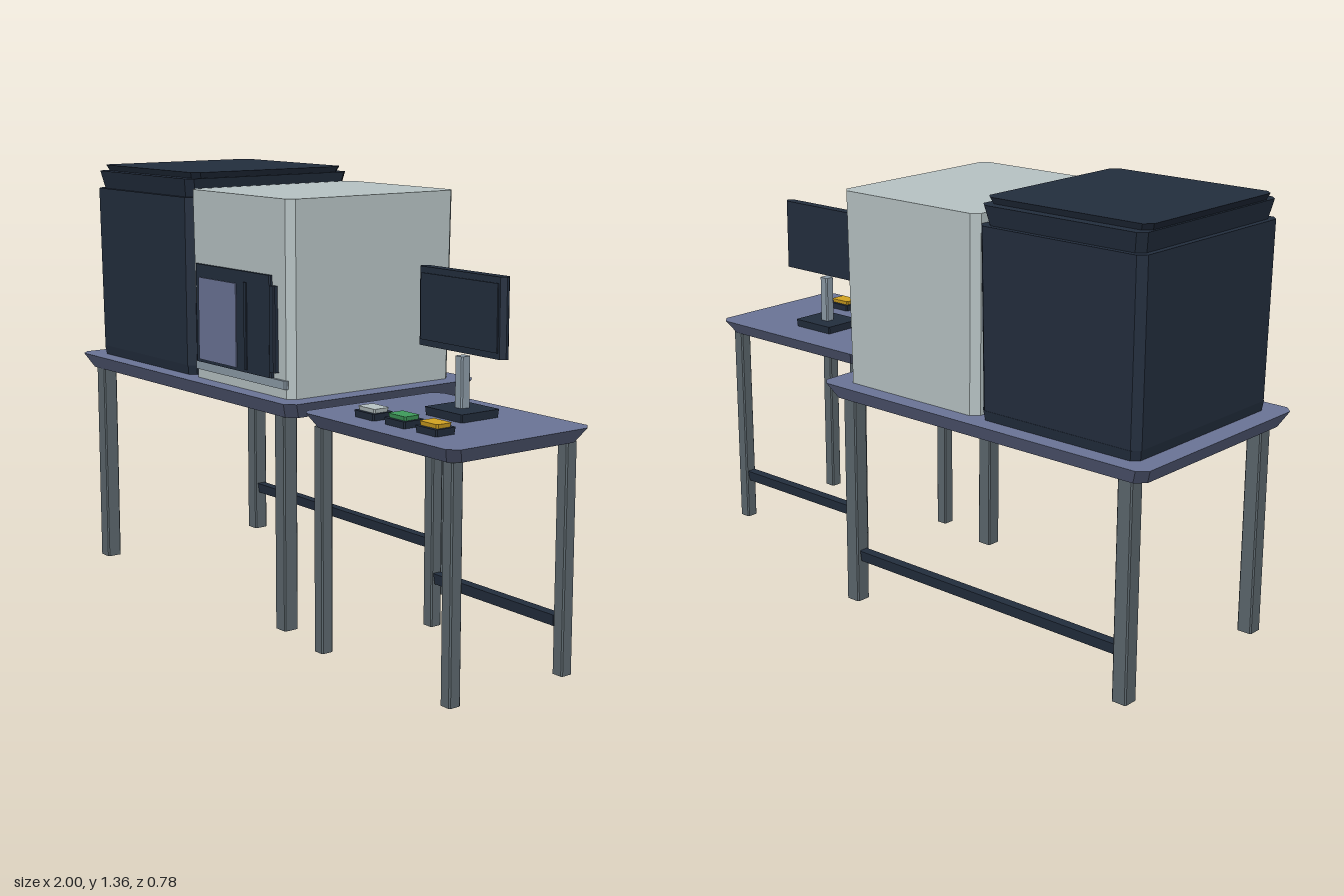
import * as THREE from 'three';

const mat = (name, color) => Object.assign(new THREE.MeshStandardMaterial({ color }), { name });

// Upright block with cut corners; its foot may be narrower than its top.
function blockGeometry(x0, x1, y0, y1, z0, z1, cut, taper) {
  const cx = (x0 + x1) / 2, cz = (z0 + z1) / 2;
  const ring = (inset, y) => {
    const w = (x1 - x0) / 2 - inset, d = (z1 - z0) / 2 - inset, a = w - cut, b = d - cut;
    return [[a, d], [w, b], [w, -b], [a, -d], [-a, -d], [-w, -b], [-w, b], [-a, d]]
      .map(([x, z]) => [cx + x, y, cz + z]);
  };
  const lo = ring(taper, y0), hi = ring(0, y1), pos = [];
  const tri = (...pts) => pts.forEach(p => pos.push(...p));
  for (let i = 0; i < 8; i++) {
    const j = (i + 1) % 8;
    tri(lo[i], lo[j], hi[j]);
    tri(lo[i], hi[j], hi[i]);
    if (i > 0 && i < 7) {
      tri(hi[0], hi[i], hi[j]);
      tri(lo[0], lo[j], lo[i]);
    }
  }
  const g = new THREE.BufferGeometry();
  g.setAttribute('position', new THREE.Float32BufferAttribute(pos, 3));
  g.computeVertexNormals();
  return g;
}

export function createModel() {
  const model = new THREE.Group();
  model.name = 'workstation';
  const blue = mat('slate blue', 0x6b7597);
  const dark = mat('dark navy', 0x232e3e);
  const pale = mat('pale grey', 0xb8c4c5);
  const steel = mat('leg grey', 0x5c676d);
  const metal = mat('brushed metal', 0x8d9ca8);
  const green = mat('green', 0x3f9d5c);
  const amber = mat('amber', 0xd4a422);

  const group = (name, parent = model) => {
    const g = new THREE.Group();
    g.name = name;
    parent.add(g);
    return g;
  };
  const block = (parent, name, m, [x0, x1], [y0, y1], [z0, z1], cut = 0.004, taper = 0) => {
    const mesh = new THREE.Mesh(blockGeometry(x0, x1, y0, y1, z0, z1, cut, taper), m);
    mesh.name = name;
    parent.add(mesh);
  };

  // Tables: bevelled top, four legs, rear crossbar
  function table(name, xs, ys, zs, legXs, legZs, size) {
    const g = group(name), h = size / 2;
    block(g, 'tableTop', blue, xs, ys, zs, 0.028, 0.026);
    for (const x of legXs) for (const z of legZs)
      block(g, 'leg', steel, [x - h, x + h], [0, ys[0]], [z - h, z + h]);
    block(g, 'crossbar', dark, [legXs[0] + h, legXs[1] - h], [0.137, 0.17],
      [legZs[0] - 0.016, legZs[0] + 0.016], 0.003, 0.003);
  }
  table('largeTable', [-1, 0.23], [0.665, 0.712], [-0.39, 0.35], [-0.912, 0.14], [-0.33, 0.296], 0.05);
  table('smallTable', [0.335, 1], [0.674, 0.716], [-0.13, 0.387], [0.38, 0.945], [-0.08, 0.337], 0.04);

  // Dark cabinet with a stepped lid
  const cabinet = group('darkCabinet');
  block(cabinet, 'cabinetBase', dark, [-0.937, -0.372], [0.712, 0.742], [-0.338, 0.298], 0.02, 0.004);
  block(cabinet, 'cabinetBody', dark, [-0.943, -0.367], [0.742, 1.28], [-0.343, 0.304], 0.022, 0.006);
  block(cabinet, 'lidLower', dark, [-0.937, -0.37], [1.28, 1.338], [-0.338, 0.302], 0.022, 0.012);
  block(cabinet, 'lidUpper', dark, [-0.937, -0.37], [1.338, 1.357], [-0.314, 0.278], 0.022, 0.008);

  // Pale housing with a window, sliding door and sill on its front
  const housing = group('paleHousing');
  block(housing, 'housingBody', pale, [-0.364, 0.172], [0.712, 1.308], [-0.34, 0.303], 0.022, 0.007);
  block(housing, 'sill', metal, [-0.335, 0.15], [0.742, 0.768], [0.29, 0.306]);
  block(housing, 'doorFrame', dark, [-0.323, 0.08], [0.768, 1.078], [0.29, 0.31]);
  block(housing, 'windowPane', blue, [-0.303, -0.096], [0.777, 1.037], [0.309, 0.313], 0.001);
  block(housing, 'doorRail', dark, [-0.053, -0.04], [0.777, 1.045], [0.309, 0.314], 0.001);
  block(housing, 'doorHandle', dark, [0.078, 0.106], [0.787, 1.048], [0.29, 0.314]);

  // Monitor on a stand
  const monitor = group('monitor');
  block(monitor, 'standBase', dark, [0.585, 0.745], [0.716, 0.74], [-0.01, 0.132], 0.003, 0.002);
  block(monitor, 'standPost', metal, [0.646, 0.678], [0.74, 0.888], [0.041, 0.074]);
  block(monitor, 'monitorCase', dark, [0.481, 0.845], [0.9, 1.128], [0.041, 0.075], 0.013);
  block(monitor, 'screen', dark, [0.5, 0.826], [0.918, 1.11], [0.07, 0.079], 0.001);

  // Push buttons
  const panel = group('pushButtons');
  [[0.53, pale], [0.664, green], [0.798, amber]].forEach(([x, m]) => {
    block(panel, 'buttonBase', dark, [x - 0.045, x + 0.045], [0.716, 0.736], [0.237, 0.309], 0.004, 0.002);
    block(panel, 'buttonCap', m, [x - 0.038, x + 0.038], [0.736, 0.748], [0.246, 0.3], 0.004, 0.002);
  });

  return model;
}
